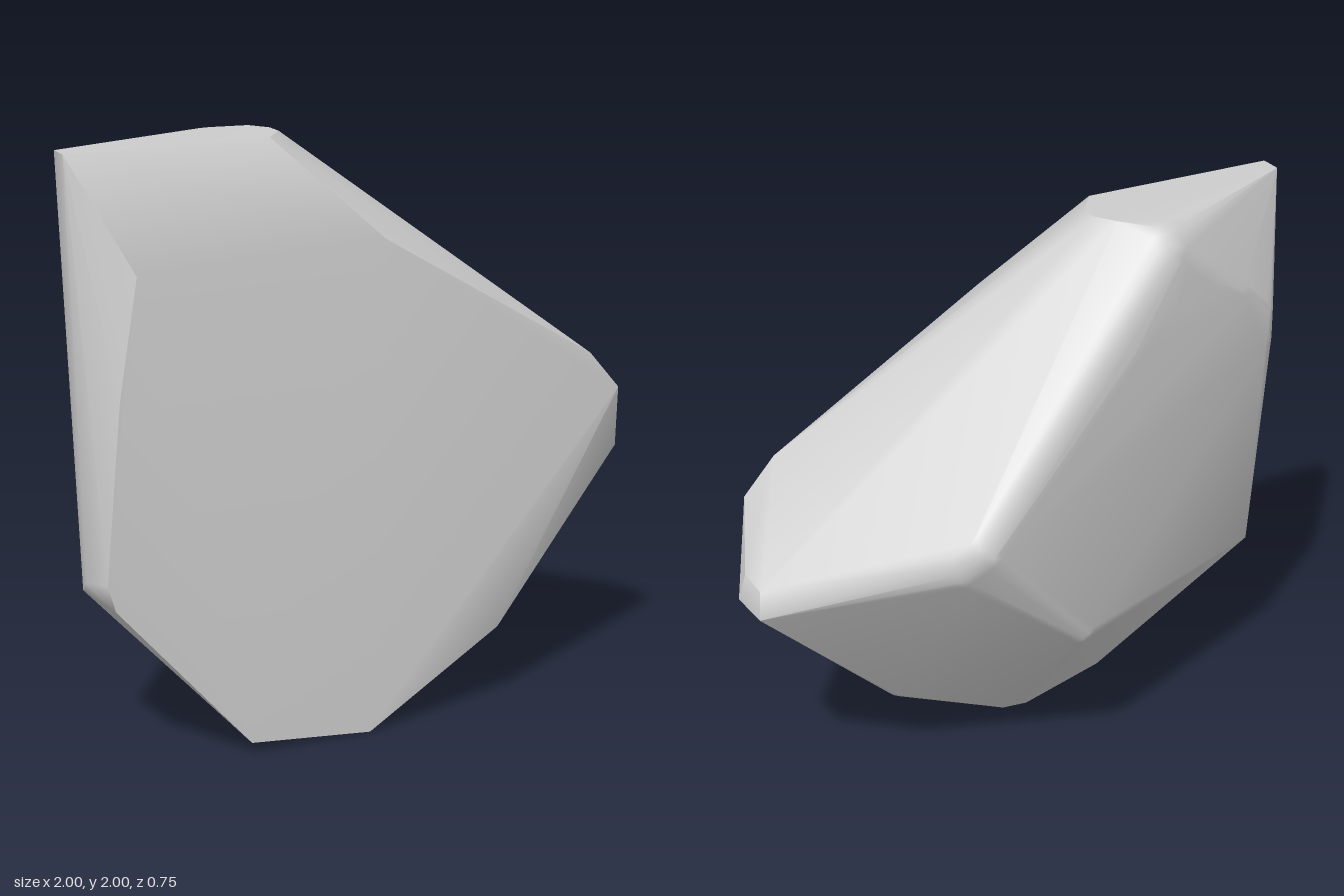
import * as THREE from 'three';
import { ConvexGeometry } from 'three/addons/geometries/ConvexGeometry.js';

// Sharp corners of the boulder, each as [x, y, z]
const FRONT = [
  [-0.47, 0.04, 0.375], [-0.04, 0, 0.375], [0.45, 0.29, 0.357], [0.89, 1.09, 0.375], [0.78, 1.22, 0.368],
  [0.01, 1.68, 0.375], [-0.835, 1.64, 0.375], [-0.9, 1.25, 0.375], [-0.955, 0.66, 0.375], [-0.93, 0.57, 0.375],
];
const TOP = [
  [-1, 2, 0.2], [-0.31, 2, 0.19], [-0.235, 2, 0.09], [-0.235, 2, 0.02], [-0.28, 2, -0.05], [-1, 2, 0.12],
];
const SIDES = [
  [1, 0.82, 0.19], [0.98, 0.8, 0.06], [0.97, 0.9, 0.07], [0.98, 0.92, 0.17],
  [-0.04, 0.01, 0.31], [-0.13, 0.01, 0.3], [-0.955, 0.57, 0.14], [-0.985, 0.64, 0.26],
];

// Worn, rounded corners, each as [x, y, z, radius]
const WORN = [
  [-0.065, 0.643, -0.157, 0.1], [0.34, 1.075, -0.275, 0.1], [0.4, 1.03, -0.25, 0.1],
  [0.14, 1.27, -0.23, 0.1], [-0.23, 1.605, -0.148, 0.1], [-0.38, 1.735, -0.112, 0.1],
  [-0.58, 1.74, -0.064, 0.1], [-0.7, 1.68, -0.034, 0.1], [-0.81, 1.58, 0, 0.1], [-0.81, 1.47, 0, 0.1],
  [-0.42, 1.865, -0.062, 0.135], [0.41, 0.345, 0.21, 0.08],
];

// Evenly spread points on a sphere
function spherePoints([x, y, z, radius], count = 150) {
  return Array.from({ length: count }, (_, i) => {
    const polar = Math.acos(1 - (2 * i + 1) / count);
    const turn = i * Math.PI * (3 - Math.sqrt(5));
    return new THREE.Vector3().setFromSphericalCoords(radius, polar, turn).add(new THREE.Vector3(x, y, z));
  });
}

// Area-weighted normals, kept sharp across edges steeper than the crease angle
function smoothBelow(geometry, angle) {
  const pos = geometry.attributes.position;
  const corners = new Map();
  const faces = [];
  const [a, b, c] = [0, 1, 2].map(() => new THREE.Vector3());
  const key = (i) => [pos.getX(i), pos.getY(i), pos.getZ(i)].map((v) => v.toFixed(4)).join();
  for (let i = 0; i < pos.count; i += 3) {
    a.fromBufferAttribute(pos, i);
    b.fromBufferAttribute(pos, i + 1).sub(a);
    c.fromBufferAttribute(pos, i + 2).sub(a);
    const area = b.clone().cross(c);
    const face = { area, unit: area.clone().normalize() };
    faces.push(face);
    for (let k = i; k < i + 3; k++) {
      if (!corners.has(key(k))) corners.set(key(k), []);
      corners.get(key(k)).push(face);
    }
  }
  const normals = [];
  for (let i = 0; i < pos.count; i++) {
    const own = faces[Math.floor(i / 3)];
    const n = new THREE.Vector3();
    for (const f of corners.get(key(i))) {
      if (f.unit.dot(own.unit) > Math.cos(angle)) n.add(f.area);
    }
    normals.push(...n.normalize().toArray());
  }
  geometry.setAttribute('normal', new THREE.Float32BufferAttribute(normals, 3));
  return geometry;
}

export function createModel() {
  const stone = new THREE.MeshStandardMaterial({ color: 0xcccccc });
  stone.name = 'stoneGrey';

  // The boulder is the hull around its sharp and worn corners
  const sharp = [...FRONT, ...TOP, ...SIDES].map((p) => new THREE.Vector3(...p));
  const worn = WORN.flatMap((w) => spherePoints(w));
  const boulder = new THREE.Mesh(smoothBelow(new ConvexGeometry([...sharp, ...worn]), 0.6), stone);
  boulder.name = 'boulder';

  const group = new THREE.Group();
  group.name = 'rock';
  group.add(boulder);
  return group;
}
